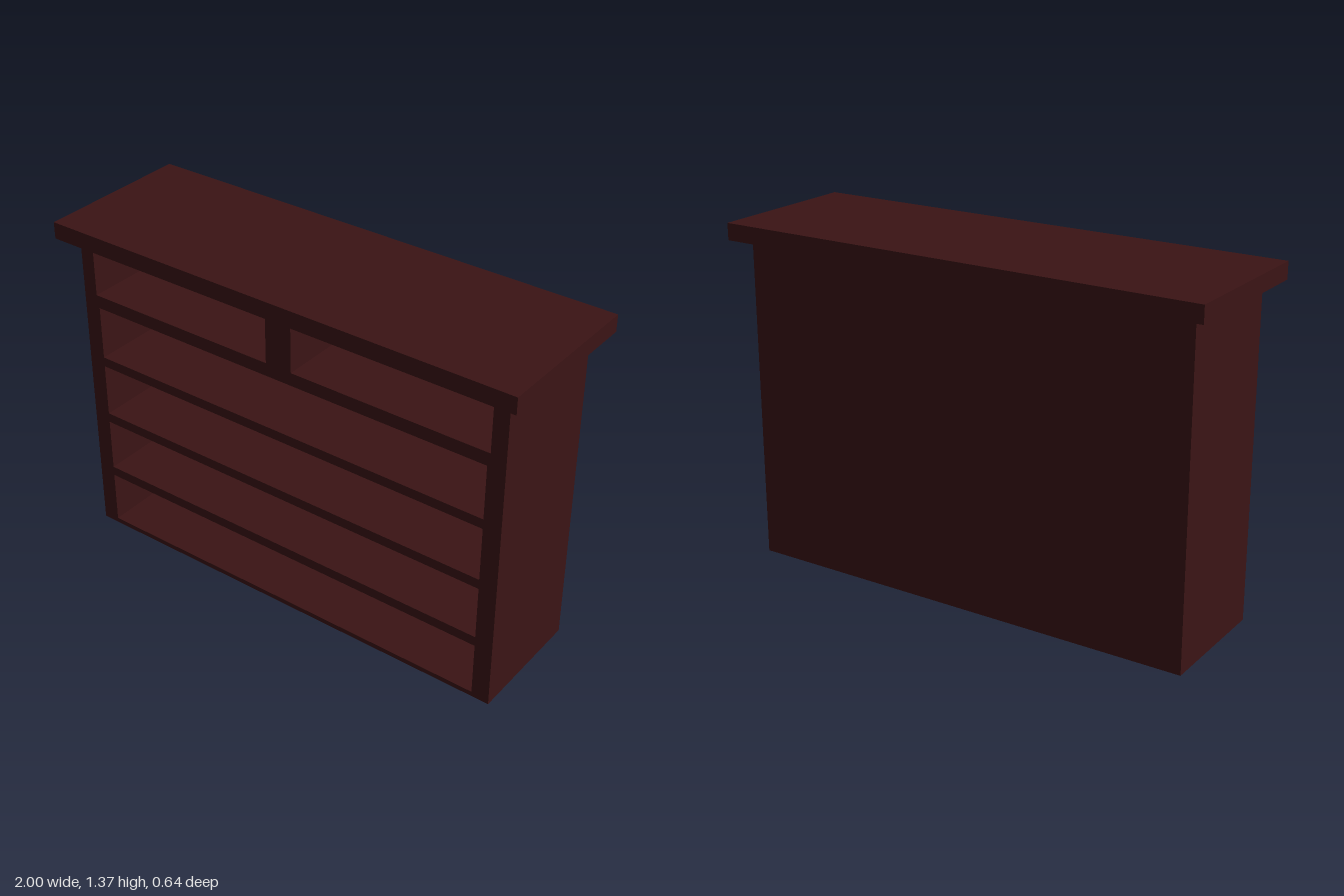
import * as THREE from 'three';

const wood = new THREE.MeshStandardMaterial({ color: 0x3b1415 });

function rectangle(Type, x0, x1, y0, y1) {
  const path = new Type();
  path.moveTo(x0, y0);
  path.lineTo(x1, y0);
  path.lineTo(x1, y1);
  path.lineTo(x0, y1);
  path.closePath();
  return path;
}

function addPart(group, name, geometry, x, y, z) {
  const mesh = new THREE.Mesh(geometry, wood);
  mesh.name = name;
  mesh.position.set(x, y, z);
  group.add(mesh);
}

export function createModel() {
  const group = new THREE.Group();
  group.name = 'dresser';

  const halfWidth = 0.94, bodyHeight = 1.305, halfDepth = 0.253, backThickness = 0.03;

  // Carcass: one frame with open drawer bays cut through it
  const frame = rectangle(THREE.Shape, -halfWidth, halfWidth, 0, bodyHeight);
  frame.holes.push(
    rectangle(THREE.Path, -0.88, -0.058, 1.073, 1.273),
    rectangle(THREE.Path, 0.054, 0.878, 1.073, 1.273)
  );
  for (let row = 0; row < 4; row++) {
    const y = 0.02 + row * 0.26;
    frame.holes.push(rectangle(THREE.Path, -0.87, 0.868, y, y + 0.22));
  }
  addPart(group, 'carcass', new THREE.ExtrudeGeometry(frame, {
    depth: 2 * halfDepth - backThickness, bevelEnabled: false
  }), 0, 0, -halfDepth + backThickness);

  // Panel closing the bays at the rear
  addPart(group, 'backPanel', new THREE.BoxGeometry(2 * halfWidth, bodyHeight, backThickness),
    0, bodyHeight / 2, -halfDepth + backThickness / 2);

  // Overhanging top
  addPart(group, 'top', new THREE.BoxGeometry(2, 0.067, 0.645), 0, bodyHeight + 0.0335, 0);

  return group;
}
